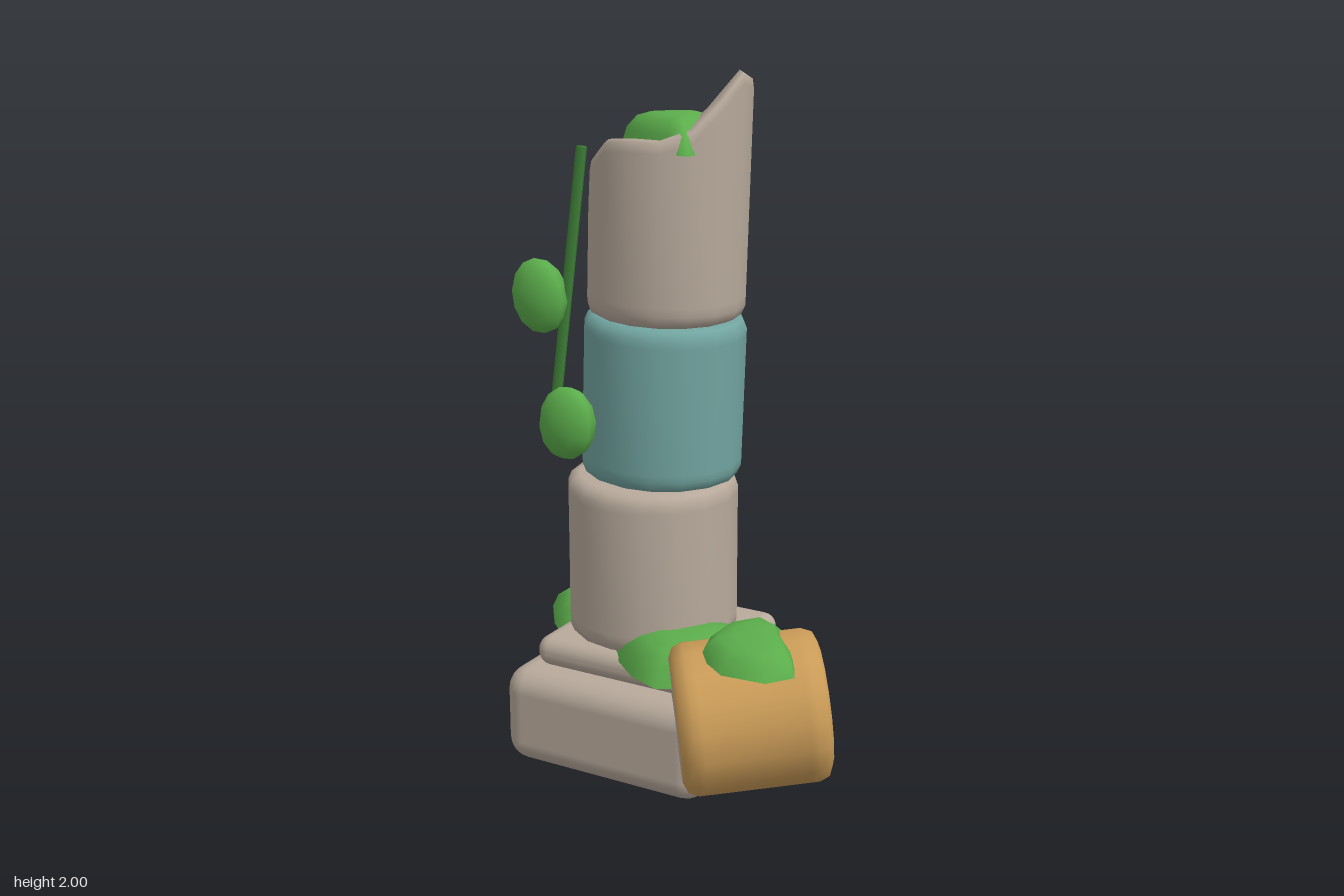
import * as THREE from 'three';
import { mergeVertices } from 'three/addons/utils/BufferGeometryUtils.js';
import { RoundedBoxGeometry } from 'three/addons/geometries/RoundedBoxGeometry.js';

const SIDES = 16;

function material(name, color, side = THREE.FrontSide) {
  const m = new THREE.MeshStandardMaterial({ color, side });
  m.name = name;
  return m;
}

// Lathe with a closed seam; rule(v, ring) may move each vertex
function lathe(points, rule) {
  const g = new THREE.LatheGeometry(points.map(p => new THREE.Vector2(...p)), SIDES);
  const pos = g.attributes.position;
  if (rule) {
    const v = new THREE.Vector3();
    for (let i = 0; i < pos.count; i++) {
      v.fromBufferAttribute(pos, i);
      rule(v, i % points.length);
      pos.setXYZ(i, v.x, v.y, v.z);
    }
  }
  g.deleteAttribute('normal');
  g.deleteAttribute('uv');
  const merged = mergeVertices(g, 1e-5);
  merged.computeVertexNormals();
  return merged;
}

// Rounded barrel wall from y = 0 to y = h
function wall(r, h, b) {
  return [[r - b, 0], [r - b * 0.3, b * 0.3], [r, b], [r, b * 1.6],
    [r, h - b * 1.6], [r, h - b], [r - b * 0.3, h - b * 0.3], [r - b, h]];
}

// Flat-bottomed mound over an outline of [x, z] points
function mound(outline, y0, y1) {
  const n = outline.length, pos = [], idx = [];
  const cx = outline.reduce((s, p) => s + p[0], 0) / n;
  const cz = outline.reduce((s, p) => s + p[1], 0) / n;
  const rings = [[1, 0], [1, 0], [0.9, 0.5], [0.7, 0.85], [0.42, 0.99]];
  for (const [s, t] of rings) {
    for (const [x, z] of outline) {
      pos.push(cx + (x - cx) * s, y0 + (y1 - y0) * t, cz + (z - cz) * s);
    }
  }
  const bottom = pos.length / 3, top = bottom + 1, last = rings.length - 1;
  pos.push(cx, y0, cz, cx, y1, cz);
  for (let i = 0; i < n; i++) {
    const j = (i + 1) % n;
    idx.push(bottom, i, j, top, last * n + j, last * n + i);
    for (let r = 1; r < last; r++) {
      const a = r * n + i, b = r * n + j;
      idx.push(a, a + n, b, b, a + n, b + n);
    }
  }
  const g = new THREE.BufferGeometry();
  g.setAttribute('position', new THREE.Float32BufferAttribute(pos, 3));
  g.setIndex(idx);
  g.computeVertexNormals();
  return g;
}

export function createModel() {
  const model = new THREE.Group();
  model.name = 'ruinedColumn';
  const stone = material('stone', 0xb8aa9c);
  const teal = material('tealStone', 0x72a5a1);
  const ochre = material('ochreStone', 0xcb9c58);
  const moss = material('moss', 0x5cae4c);
  const stem = material('vineStem', 0x3f8038);

  const add = (name, geometry, mat, x = 0, y = 0, z = 0, parent = model) => {
    const mesh = new THREE.Mesh(geometry, mat);
    mesh.name = name;
    mesh.position.set(x, y, z);
    parent.add(mesh);
    return mesh;
  };

  // Plinth
  add('base', new RoundedBoxGeometry(0.655, 0.29, 0.66, 3, 0.07), stone, -0.127, 0.145, -0.095);
  add('upperSlab', new RoundedBoxGeometry(0.535, 0.09, 0.535, 3, 0.042), stone, -0.113, 0.333, -0.102);

  // Standing drums
  const drum = (r, h) => lathe([[0, 0], ...wall(r, h, 0.035), [0, h]]);
  add('lowerDrum', drum(0.247, 0.48), stone, -0.127, 0.375, -0.09);
  add('middleDrum', drum(0.23, 0.47), teal, -0.105, 0.855, -0.1).rotation.z = -0.035;

  // Broken top drum: rim heights go round from +x towards +z
  const rim = [2.007, 1.94, 1.86, 1.83, 1.83, 1.82, 1.76, 1.64,
    1.58, 1.64, 1.69, 1.72, 1.74, 1.79, 1.9, 1.985];
  const r = 0.222, floorY = 1.325;
  const top = lathe([[0, 0], [r - 0.03, 0], [r - 0.01, 0.01], [r, 0.035], [r, 0.06],
    [r, -0.035], [r * 0.98, -0.008], [r * 0.92, 0], [r * 0.5, 0], [0, 0]], (v, ring) => {
    if (ring < 5) return;
    const turn = Math.round(Math.atan2(v.z, v.x) / (Math.PI * 2) * SIDES);
    const h = rim[(turn + SIDES) % SIDES] - floorY;
    const middle = 1.8 - floorY;
    const blend = ring === 9 ? 0 : ring === 8 ? 0.48 : 1;
    v.y += middle + (h - middle) * blend;
  });
  add('brokenTopDrum', top, stone, -0.077, floorY, -0.08).rotation.z = -0.032;

  // Fallen drum lying against the plinth
  const fallen = new THREE.Group();
  fallen.name = 'fallenDrum';
  fallen.position.set(0.315, 0.295, 0.143);
  fallen.quaternion.setFromUnitVectors(new THREE.Vector3(0, 1, 0),
    new THREE.Vector3(0.83, 0.1, -0.55).normalize());
  model.add(fallen);
  add('fallenDrumWall', lathe(wall(0.212, 0.41, 0.04)), ochre, 0, -0.205, 0, fallen);
  for (const s of [-1, 1]) {
    add('fallenDrumEnd', new THREE.CircleGeometry(0.175, SIDES), stone, 0, s * 0.205, 0, fallen)
      .rotation.x = -s * Math.PI / 2;
  }

  // Moss patches
  add('topMoss', mound([[0.1, -0.05], [0.1, 0.11], [0.03, 0.095], [-0.06, 0.06], [-0.15, 0.01],
    [-0.2, -0.055], [-0.15, -0.12], [-0.09, -0.19], [-0.01, -0.23], [0.07, -0.18]], 1.79, 1.883), moss);
  add('backMoss', mound([[-0.2, -0.3], [-0.2, -0.1], [-0.28, -0.03], [-0.375, -0.005], [-0.49, -0.11],
    [-0.575, -0.23], [-0.525, -0.34], [-0.43, -0.38], [-0.335, -0.42], [-0.225, -0.4]], 0.3, 0.385), moss);
  add('frontMoss', mound([[0.24, -0.06], [0.25, 0.08], [0.2, 0.2], [0.09, 0.27], [-0.01, 0.23],
    [-0.13, 0.13], [-0.1, 0.05], [0, -0.06], [0.1, -0.1], [0.16, -0.11]], 0.36, 0.46), moss);
  add('fallenDrumMoss', mound([[0.46, 0.17], [0.5, 0.25], [0.45, 0.32], [0.325, 0.33], [0.22, 0.255],
    [0.2, 0.185], [0.2, 0.08], [0.27, 0.015 - 0.03], [0.36, 0.03], [0.385, 0.08]], 0.475, 0.54), moss);

  // Vine with two leaves
  const from = new THREE.Vector3(-0.31, 1.07, 0.13), to = new THREE.Vector3(-0.237, 1.795, 0.09);
  const vine = add('vineStem', new THREE.CylinderGeometry(0.016, 0.016, from.distanceTo(to), 5), stem,
    ...from.clone().add(to).multiplyScalar(0.5).toArray());
  vine.quaternion.setFromUnitVectors(new THREE.Vector3(0, 1, 0), to.clone().sub(from).normalize());
  for (const [x, y, z, tilt] of [[-0.355, 1.383, 0.132, 0.15], [-0.25, 1.042, 0.167, -0.15]]) {
    const leaf = add('vineLeaf', new THREE.SphereGeometry(1, 9, 7), moss, x, y, z);
    leaf.scale.set(0.09, 0.105, 0.05);
    leaf.rotation.z = tilt;
  }
  return model;
}
